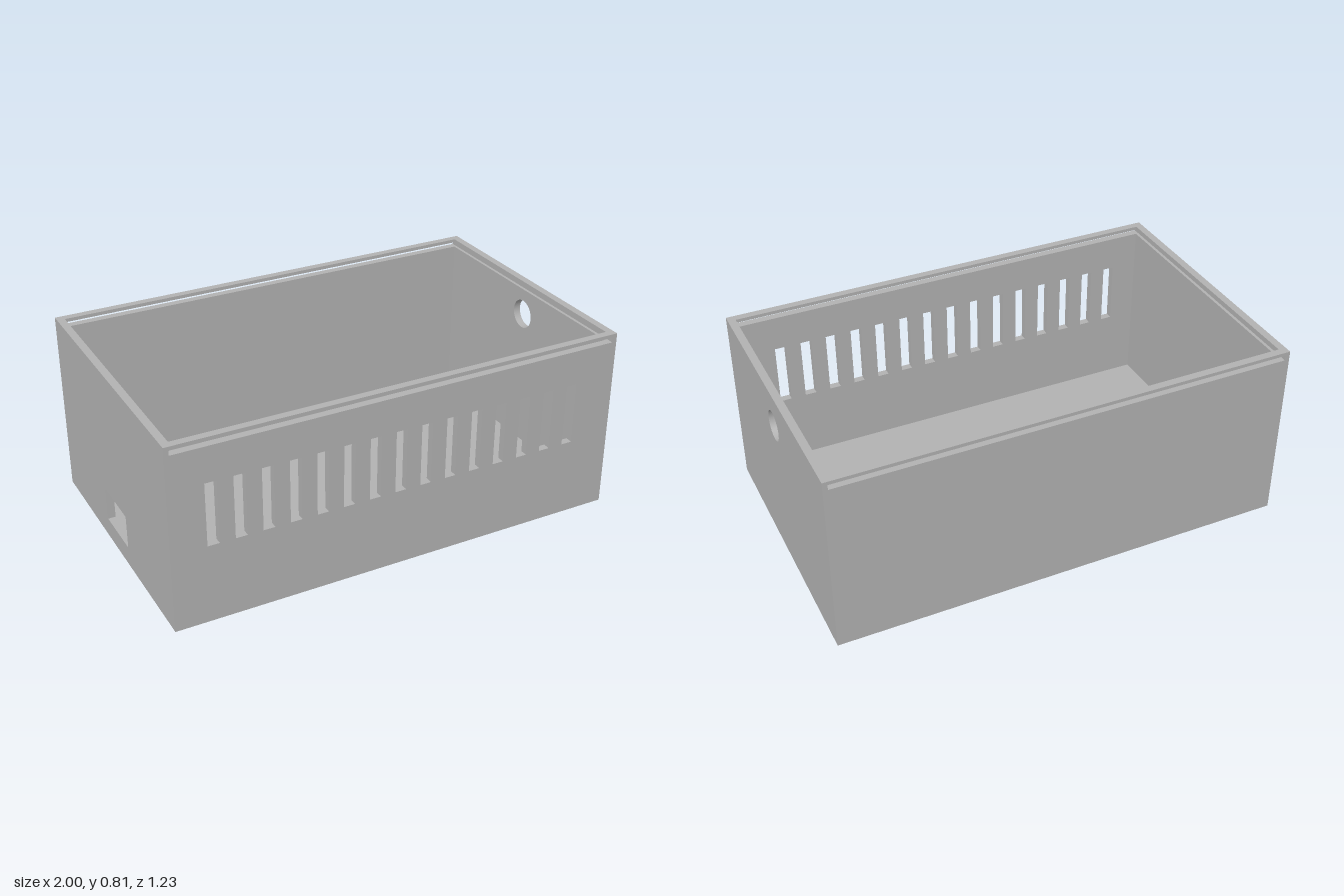
import * as THREE from 'three';

const HX = 1, HZ = 0.614, H = 0.81;        // half width, half depth, height
const T = 0.033, GROOVE = 0.02;            // wall thickness, skin left behind the lid groove
const SLOT_LOW = 0.773, SLOT_HIGH = 0.795; // lid groove

function rectPoints(x0, y0, x1, y1) {
  return [[x0, y0], [x1, y0], [x1, y1], [x0, y1]].map(([x, y]) => new THREE.Vector2(x, y));
}

// One layer of a wall between two depths below its outer face (z = 0),
// mitred at both ends and along the bottom so that the layers meet cleanly.
function layer(half, y0, y1, d0, d1, holes) {
  const shape = new THREE.Shape(rectPoints(-half, y0, half, y1));
  shape.holes.push(...holes);
  const geo = new THREE.ExtrudeGeometry(shape, { depth: d1 - d0, bevelEnabled: false, curveSegments: 48 });
  geo.translate(0, 0, -d1);
  const p = geo.attributes.position;
  for (let i = 0; i < p.count; i++) {
    const depth = -p.getZ(i);
    if (Math.abs(p.getX(i)) > half - 1e-5) p.setX(i, Math.sign(p.getX(i)) * (half - depth));
    if (p.getY(i) < 1e-5) p.setY(i, depth);
  }
  return geo;
}

export function createModel() {
  const model = new THREE.Group();
  model.name = 'enclosure';
  const grey = new THREE.MeshStandardMaterial({ color: 0xb2b2b2 });
  grey.name = 'grey plastic';

  function add(parent, name, geo) {
    const mesh = new THREE.Mesh(geo, grey);
    mesh.name = name;
    parent.add(mesh);
    return mesh;
  }

  // Wall: outer skin, inner wall below the groove and lip above it
  function wall(name, half, distance, angle, holes, skinHoles = []) {
    const g = new THREE.Group();
    g.name = name;
    add(g, name + 'Skin', layer(half, 0, H, 0, GROOVE, [...holes, ...skinHoles]));
    add(g, name + 'Inner', layer(half, 0, SLOT_LOW, GROOVE, T, holes));
    add(g, name + 'Lip', layer(half, SLOT_HIGH, H, GROOVE, T, []));
    g.rotation.y = angle;
    g.position.set(Math.sin(angle) * distance, 0, Math.cos(angle) * distance);
    model.add(g);
  }

  // Openings
  const vents = [];
  for (let i = 0; i < 15; i++) {
    const x = -0.826 + i * 0.1154;
    vents.push(new THREE.Path(rectPoints(x - 0.025, 0.345, x + 0.025, 0.62)));
  }
  const sx = HX - GROOVE - 0.001;
  const lidSlot = new THREE.Path(rectPoints(-sx, SLOT_LOW, sx, SLOT_HIGH));
  const cableHole = new THREE.Path().absarc(0, 0.655, 0.065, 0, Math.PI * 2, false);
  const socketHole = new THREE.Path(rectPoints(-0.12, 0.087, 0.12, 0.235));

  wall('frontWall', HX, HZ, 0, vents, [lidSlot]);
  wall('backWall', HX, HZ, Math.PI, [], [lidSlot]);
  wall('leftWall', HZ, HX, Math.PI / 2, [cableHole]);
  wall('rightWall', HZ, HX, -Math.PI / 2, [socketHole]);

  // Floor, tapered to fit the mitred walls
  const floor = new THREE.BoxGeometry(HX * 2, T, HZ * 2);
  floor.translate(0, T / 2, 0);
  const p = floor.attributes.position;
  for (let i = 0; i < p.count; i++) {
    if (p.getY(i) < T / 2) continue;
    p.setX(i, Math.sign(p.getX(i)) * (HX - T));
    p.setZ(i, Math.sign(p.getZ(i)) * (HZ - T));
  }
  add(model, 'floor', floor);
  return model;
}
